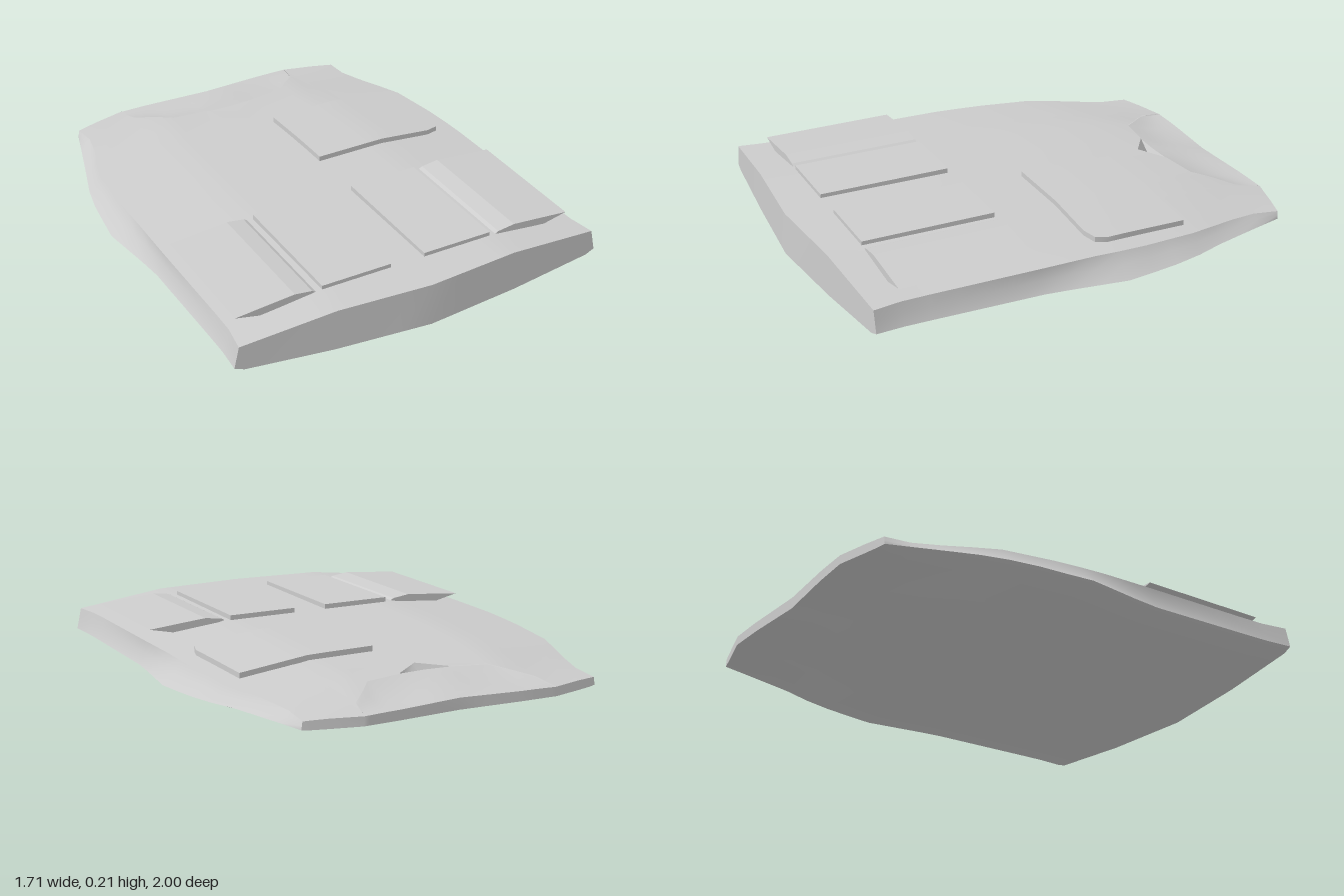
import * as THREE from 'three';

// Piecewise-linear lookup in a list of [key, value] pairs, keys ascending
function look(table, k) {
  if (k <= table[0][0]) return table[0][1];
  for (let i = 1; i < table.length; i++) {
    const [k0, v0] = table[i - 1], [k1, v1] = table[i];
    if (k <= k1) return v0 + (v1 - v0) * (k - k0) / (k1 - k0);
  }
  return table[table.length - 1][1];
}

// Garment measurements along z (back to front)
const topHalf = z => look([[-0.94, 0.655], [-0.8, 0.65], [-0.48, 0.745], [-0.2, 0.775], [0.2, 0.78], [0.8, 0.78], [0.93, 0.8]], z);
const outerHalf = z => look([[-0.94, 0.66], [-0.84, 0.69], [-0.42, 0.82], [-0.12, 0.855], [0.2, 0.81], [0.8, 0.81], [0.93, 0.82]], z);
const ridgeY = z => look([[-1, 0.085], [-0.9, 0.108], [-0.7, 0.147], [-0.45, 0.168], [-0.2, 0.181], [0.2, 0.188], [0.99, 0.194]], z);
const edgeY = z => look([[-0.94, 0.08], [-0.5, 0.125], [0, 0.145], [0.93, 0.15]], z);
const bellyY = z => look([[-1, 0.045], [-0.6, 0.014], [-0.2, 0.003], [0.2, 0.003], [1, 0.015]], z);

// Edges across the width, f = 0 at the centre and 1 at the side
const hemZ = f => 0.99 - 0.06 * f;
const neckZ = f => look([[0, -0.64], [0.167, -0.72], [0.41, -0.745], [0.62, -0.89], [0.655, -1], [1, -0.94]], f);
const lipZ = f => f < 0.167 ? -0.715 - 0.03 * f : neckZ(f);
const backZ = f => look([[0, -0.975], [0.41, -0.995], [0.655, -1], [1, -0.94]], f);
const topY = (z, f) => ridgeY(z) + (edgeY(z) - ridgeY(z)) * Math.max(0, (f - 0.5) / 0.5);
const bottomY = (z, f) => bellyY(z) + look([[0, 0], [0.5, 0.006], [0.95, 0.03], [1, 0.045]], f) * (z < -0.6 ? (z + 1) / 0.4 : 1);

const half = [0.167, 0.41, 0.5, 0.62, 0.655, 0.85, 0.95, 1];
const columns = [...half.map(f => -f).reverse(), 0, ...half];
const steps = n => Array.from({ length: n + 1 }, (_, i) => i / n);
const mix = THREE.MathUtils.lerp;

// Grid surface: fn(u, v) gives a point
function surface(us, vs, fn, flip = false) {
  const pos = [], idx = [], n = us.length;
  for (const v of vs) for (const u of us) pos.push(...fn(u, v));
  for (let j = 0; j < vs.length - 1; j++) for (let i = 0; i < n - 1; i++) {
    const a = j * n + i, b = a + 1, c = b + n, d = a + n;
    if (flip) idx.push(a, c, b, a, d, c);
    else idx.push(a, b, c, a, c, d);
  }
  const g = new THREE.BufferGeometry();
  g.setAttribute('position', new THREE.Float32BufferAttribute(pos, 3));
  g.setIndex(idx);
  g.computeVertexNormals();
  return g;
}

export function createModel() {
  const model = new THREE.Group();
  model.name = 'vest';
  const cloth = new THREE.MeshStandardMaterial({ color: 0xcccccc, side: THREE.DoubleSide });
  cloth.name = 'lightGreyCloth';
  const add = (name, geometry) => {
    const mesh = new THREE.Mesh(geometry, cloth);
    mesh.name = name;
    model.add(mesh);
    return mesh;
  };

  const topPoint = (u, z) => [u * topHalf(z), topY(z, Math.abs(u)), z];
  const bottomPoint = (u, z) => [u * outerHalf(z), bottomY(z, Math.abs(u)), z];

  // Front and back panels
  add('frontPanel', surface(columns, steps(16), (u, v) => {
    const f = Math.abs(u);
    return topPoint(u, mix(hemZ(f), neckZ(f), v));
  }));
  add('backPanel', surface(columns, steps(16), (u, v) => {
    const f = Math.abs(u);
    return bottomPoint(u, mix(hemZ(f) + 0.007 * (1 - f), backZ(f), v));
  }, true));

  // Hem and back edge join the panels
  const join = (a, b, v) => a.map((c, i) => mix(c, b[i], v));
  add('hem', surface(columns, [0, 1], (u, v) => {
    const z = hemZ(Math.abs(u));
    return join(bottomPoint(u, z + 0.007 * (1 - Math.abs(u))), topPoint(u, z), v);
  }));
  add('backEdge', surface(columns, [0, 1], (u, v) => {
    const z = backZ(Math.abs(u));
    return join(bottomPoint(u, z), topPoint(u, z), v);
  }, true));

  // Sides with armholes, slightly hollow
  for (const s of [1, -1]) {
    add(s > 0 ? 'leftSide' : 'rightSide', surface(steps(16), [0, 0.5, 1], (u, v) => {
      const z = mix(0.93, -0.94, u);
      const p = join(bottomPoint(s, z), topPoint(s, z), v);
      if (v === 0.5) p[0] -= s * 0.012 * Math.sin(Math.PI * u);
      return p;
    }, s < 0));
  }

  // Inside of the neck opening and its small V notch
  const neckColumns = columns.filter(u => Math.abs(u) <= 0.655);
  add('neckLining', surface(neckColumns, steps(5), (u, v) => {
    const f = Math.abs(u), z = mix(lipZ(f), backZ(f), v);
    const p = topPoint(u, z);
    p[1] -= 0.016 * Math.sin(Math.PI * v) * Math.sin(Math.PI * f / 0.655) + 0.003 * (1 - v);
    return p;
  }));
  add('neckNotch', surface([-0.167, 0, 0.167], [0, 1], (u, v) => {
    const f = Math.abs(u), p = topPoint(u, neckZ(f));
    return join(p, [p[0], p[1] - 0.08, lipZ(f)], v);
  }));

  // Lower pockets: flat inner pair and curved outer pair
  const outerProfile = [[0.41, 0.192], [0.425, 0.2], [0.5, 0.21], [0.62, 0.2], [0.755, 0.188], [0.65, 0.165], [0.44, 0.185]];
  for (const s of [1, -1]) {
    const side = s > 0 ? 'left' : 'right';
    add(side + 'InnerPocket', new THREE.BoxGeometry(0.306, 0.04, 0.57)).position.set(s * 0.229, 0.189, 0.525);
    const pts = outerProfile.map(([x, y]) => new THREE.Vector2(s * x, y));
    const g = new THREE.ExtrudeGeometry(new THREE.Shape(pts), { depth: 0.57, bevelEnabled: false });
    add(side + 'OuterPocket', g).position.z = 0.24;
  }

  // Chest pocket following the panel, with a clipped lower corner
  const chest = new THREE.BoxGeometry(1, 1, 1, 8, 1, 6);
  const p = chest.attributes.position;
  for (let i = 0; i < p.count; i++) {
    const u = p.getX(i) + 0.5, v = p.getZ(i) + 0.5;
    let x = mix(0.08, mix(0.68, 0.705, v), u);
    let z = mix(mix(-0.45, -0.465, u), mix(-0.03, -0.035, u), v);
    if (u > 0.99 && v > 0.99) { x -= 0.02; z -= 0.02; }
    const y = topY(z, x / topHalf(z));
    p.setXYZ(i, x, y + (p.getY(i) > 0 ? 0.022 : -0.012), z);
  }
  chest.computeVertexNormals();
  add('chestPocket', chest);

  return model;
}
